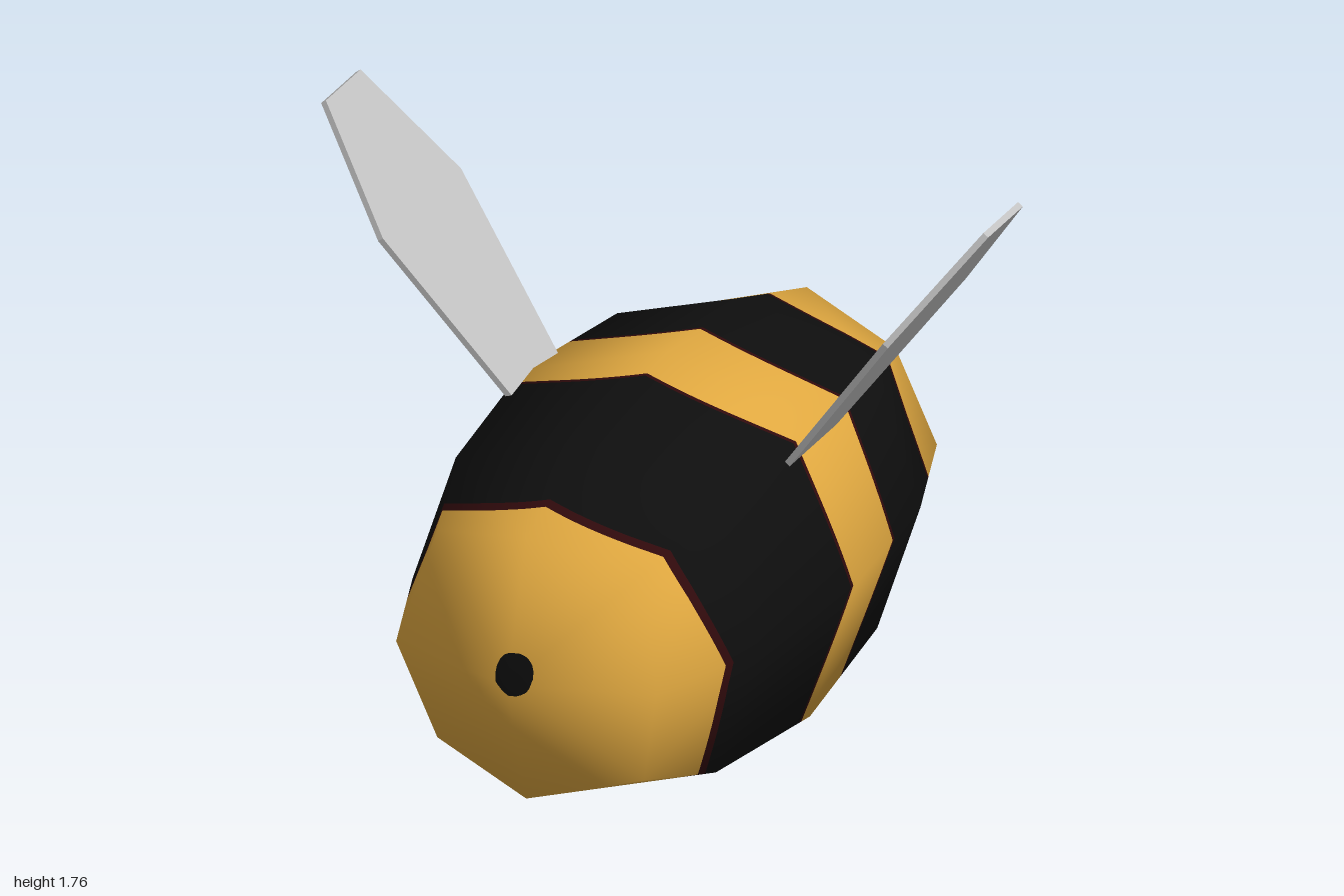
import * as THREE from 'three';

const mat = (name, color) => Object.assign(new THREE.MeshStandardMaterial({ color }), { name });

// Coarse eight-sided hull: rings of alternating axis and diagonal points
function hull() {
  const rings = [ // [axis radius, axis z, diagonal x = y, diagonal z]
    [0.39, 0.87, 0.31, 0.78], [0.52, 0.5, 0.39, 0.5], [0.572, 0, 0.43, 0],
    [0.52, -0.5, 0.39, -0.5], [0.39, -0.87, 0.31, -0.78]];
  const pos = [0, 0, 0.99], index = [];
  for (const [r, z, d, dz] of rings) {
    for (let k = 0; k < 8; k++) {
      const a = k * Math.PI / 4, rad = k % 2 ? d * Math.SQRT2 : r;
      pos.push(rad * Math.cos(a), rad * Math.sin(a), k % 2 ? dz : z);
    }
  }
  pos.push(0, 0, -0.99);
  const id = (i, k) => 1 + i * 8 + k % 8, last = 1 + rings.length * 8;
  for (let k = 0; k < 8; k++) {
    index.push(0, id(0, k), id(0, k + 1), last, id(4, k + 1), id(4, k));
    for (let i = 0; i < 4; i++) {
      index.push(id(i, k), id(i + 1, k), id(i + 1, k + 1), id(i, k), id(i + 1, k + 1), id(i, k + 1));
    }
  }
  const g = new THREE.BufferGeometry();
  g.setAttribute('position', new THREE.Float32BufferAttribute(pos, 3));
  g.setIndex(index);
  g.computeVertexNormals();
  return g;
}

// A corner is [x, y, z, nx, ny, nz]
const mix = (a, b, t) => a.map((v, i) => v + (b[i] - v) * t);

function subdivide(tri, level, out) {
  if (!level) { out.push(tri); return; }
  const [a, b, c] = tri, ab = mix(a, b, 0.5), bc = mix(b, c, 0.5), ca = mix(c, a, 0.5);
  for (const t of [[a, ab, ca], [ab, b, bc], [ca, bc, c], [ab, bc, ca]]) subdivide(t, level - 1, out);
}

// Keep the side of a polygon where sign * f >= 0
function clip(poly, f, sign) {
  const out = [];
  poly.forEach((p, i) => {
    const q = poly[(i + 1) % poly.length], fp = sign * f(p), fq = sign * f(q);
    if (fp >= 0) out.push(p);
    if ((fp >= 0) !== (fq >= 0)) out.push(mix(p, q, fp / (fp - fq)));
  });
  return out;
}

// Cut polygons in two along f = 0
function split(polys, f) {
  const side = (s) => polys.map((p) => clip(p, f, s)).filter((p) => p.length > 2);
  return [side(1), side(-1)];
}

function surface(polys) {
  const pos = [], nor = [];
  for (const p of polys) {
    for (let i = 1; i < p.length - 1; i++) {
      for (const v of [p[0], p[i], p[i + 1]]) {
        pos.push(v[0], v[1], v[2]);
        nor.push(v[3], v[4], v[5]);
      }
    }
  }
  const g = new THREE.BufferGeometry();
  g.setAttribute('position', new THREE.Float32BufferAttribute(pos, 3));
  g.setAttribute('normal', new THREE.Float32BufferAttribute(nor, 3));
  g.normalizeNormals();
  return g;
}

// Stripe edge: its z at the top, sides and bottom of the body
const edge = (top, side, bottom, shift = 0) => (p) => {
  const s = p[1] / (Math.hypot(p[0], p[1]) || 1);
  return p[2] - (side + (top - bottom) / 2 * s + ((top + bottom) / 2 - side) * s * s + shift);
};
// Round spot on the front (dir 1) or back (dir -1) end
const spot = (x, y, rx, ry, dir) => (p) =>
  p[2] * dir < 0.5 ? -1 : 1 - Math.hypot((p[0] - x) / rx, (p[1] - y) / ry);

export function createModel() {
  const model = new THREE.Group();
  const yellow = mat('honeyYellow', 0xe0a840), black = mat('stripeBlack', 0x0e0e0e);
  const maroon = mat('stripeEdgeMaroon', 0x300a0c), grey = mat('wingGrey', 0xc2c2c2);

  // Body cut into stripes from front to back
  const body = new THREE.Group();
  body.name = 'body';
  body.position.set(-0.02, 0.578, 0);
  model.add(body);
  const add = (name, polys, material) => {
    const m = new THREE.Mesh(surface(polys), material);
    m.name = name;
    body.add(m);
  };
  const base = hull(), tris = [];
  const corner = (i) => ['position', 'normal'].flatMap((n) => {
    const a = base.attributes[n];
    return [a.getX(i), a.getY(i), a.getZ(i)];
  });
  const ix = base.index.array;
  for (let i = 0; i < ix.length; i += 3) subdivide([corner(ix[i]), corner(ix[i + 1]), corner(ix[i + 2])], 4, tris);

  const cuts = [
    ['tailEnd', yellow, edge(0.75, 0.62, 0.56)],
    ['tailStripeEdge', maroon, edge(0.75, 0.62, 0.56, -0.028)],
    ['tailStripe', black, edge(0.12, 0.02, 0.08, 0.012)],
    ['middleFrontEdge', maroon, edge(0.12, 0.02, 0.08)],
    ['middleBand', yellow, edge(-0.21, -0.28, -0.18)],
    ['middleBackEdge', maroon, edge(-0.21, -0.28, -0.18, -0.014)],
    ['neckStripe', black, edge(-0.64, -0.68, -0.65, 0.014)],
    ['neckStripeEdge', maroon, edge(-0.64, -0.68, -0.65)]];
  // Dark spots lie in the surface of the two ends
  const addWithSpots = (name, polys, spots) => {
    for (const [spotName, f] of spots) {
      const [inside, outside] = split(polys, f);
      add(spotName, inside, black);
      polys = outside;
    }
    add(name, polys, yellow);
  };
  let rest = tris;
  for (const [name, material, f] of cuts) {
    const [front, back] = split(rest, f);
    if (name === 'tailEnd') addWithSpots(name, front, [['tailSpot', spot(0.01, 0.025, 0.055, 0.062, 1)]]);
    else add(name, front, material);
    rest = back;
  }
  addWithSpots('head', rest, [
    ['rightEye', spot(-0.155, 0.035, 0.043, 0.045, -1)],
    ['leftEye', spot(0.165, 0.03, 0.032, 0.026, -1)]]);

  // Wings: thin six-sided plates leaning outwards
  const wing = (name, x0, y0, x1, y1) => {
    const u = new THREE.Vector3(x1 - x0, y1 - y0, 0), len = u.length();
    u.normalize();
    const v = new THREE.Vector3(0, 0, 1), w = u.clone().cross(v);
    const shape = new THREE.Shape([[0, -0.135], [0.59, -0.235], [1, -0.1], [1, 0.115], [0.59, 0.25], [0, 0.155]]
      .map(([t, z]) => new THREE.Vector2(t * len, z)));
    const g = new THREE.ExtrudeGeometry(shape, { depth: 0.018, bevelEnabled: false });
    g.translate(0, 0, -0.009);
    g.applyMatrix4(new THREE.Matrix4().makeBasis(u, v, w).setPosition(x0, y0, 0));
    const m = new THREE.Mesh(g, grey);
    m.name = name;
    model.add(m);
  };
  wing('leftWing', 0.417, 0.972, 0.993, 1.76);
  wing('rightWing', -0.417, 1.0, -0.993, 1.745);
  return model;
}
